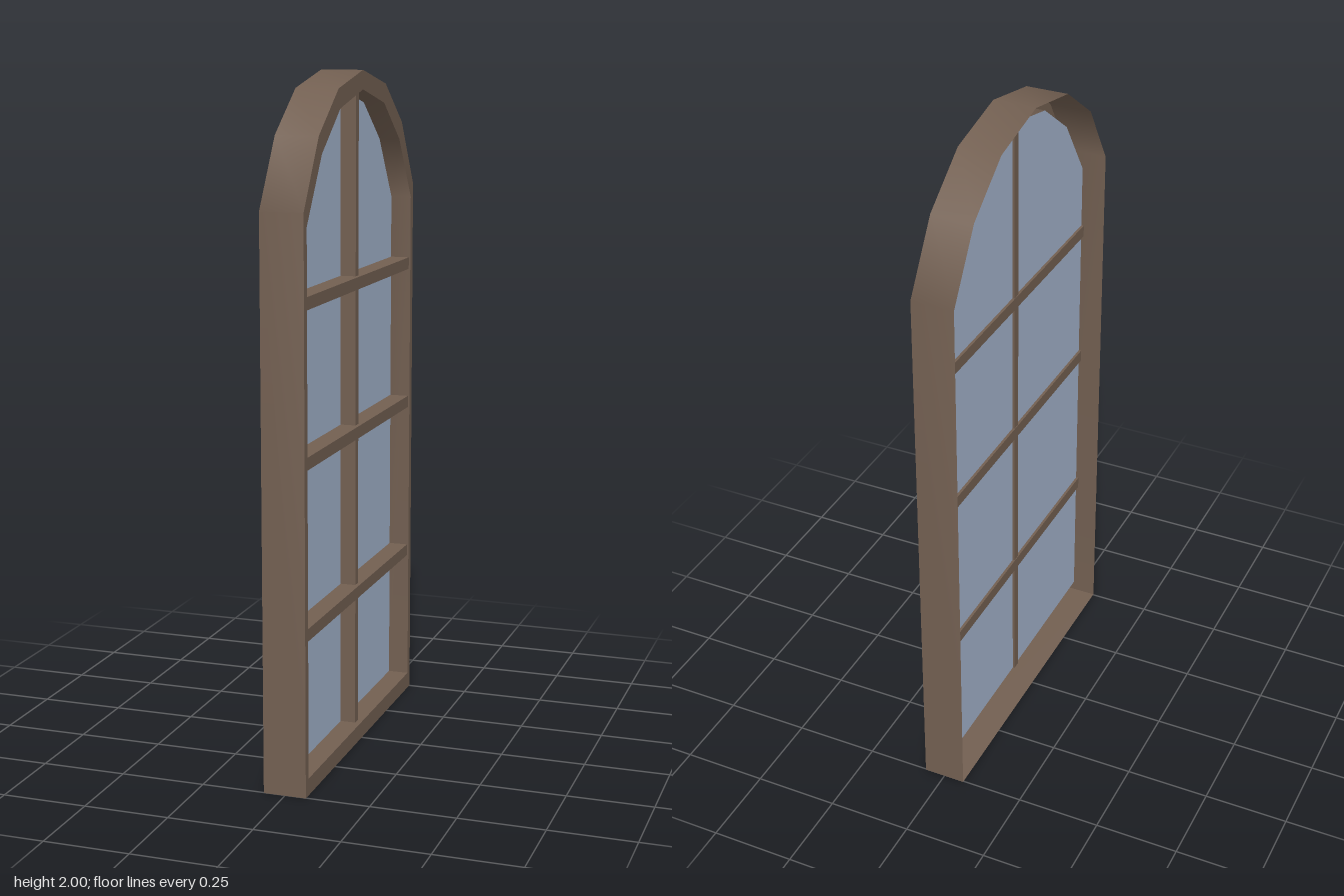
import * as THREE from 'three';

const HALF_DEPTH = 0.063;

// Half outlines as [z, y], from the foot of the jamb to the crown
const OUTER = [[0.503, 0], [0.503, 1.64], [0.38, 1.835], [0.215, 1.955], [0, 2]];
const INNER = [[0.479, 0.05], [0.479, 1.6], [0.355, 1.785], [0.2, 1.9], [0, 1.945]];

// Full arch from +z foot over the crown to -z foot
const mirror = half => [...half, ...half.slice(0, -1).reverse().map(([z, y]) => [-z, y])];

const toShape = pts => new THREE.Shape(pts.map(([z, y]) => new THREE.Vector2(-z, y)));

// Wall swept along x over an outline; smooth along its length
function wall(pts, x0, x1, inward) {
  const pos = [], idx = [];
  pts.forEach(([z, y], i) => {
    pos.push(x0, y, z, x1, y, z);
    if (i === pts.length - 1) return;
    const a = 2 * i, b = a + 1, c = a + 2, d = a + 3;
    if (inward) idx.push(a, c, b, b, c, d);
    else idx.push(a, b, c, b, d, c);
  });
  const g = new THREE.BufferGeometry();
  g.setAttribute('position', new THREE.Float32BufferAttribute(pos, 3));
  g.setIndex(idx);
  g.computeVertexNormals();
  return g;
}

export function createModel() {
  const group = new THREE.Group();
  group.name = 'archedWindow';
  const wood = new THREE.MeshStandardMaterial({ color: 0x725f51, side: THREE.DoubleSide });
  wood.name = 'brown wood';
  const pane = new THREE.MeshStandardMaterial({ color: 0xa2b2ca, side: THREE.DoubleSide });
  pane.name = 'blue glass';

  const add = (name, geometry, material = wood) => {
    const mesh = new THREE.Mesh(geometry, material);
    mesh.name = name;
    group.add(mesh);
    return mesh;
  };

  const outer = mirror(OUTER), inner = mirror(INNER);
  const ends = pts => [pts[pts.length - 1], pts[0]];

  // Outer casing, open at the back
  add('outerArch', wall(outer, -HALF_DEPTH, HALF_DEPTH, false));
  add('outerBase', wall(ends(outer), -HALF_DEPTH, HALF_DEPTH, false));

  // Front face of the frame
  const faceShape = toShape(outer);
  faceShape.holes.push(toShape(inner));
  const face = new THREE.ShapeGeometry(faceShape).rotateY(Math.PI / 2);
  add('frameFace', face.translate(HALF_DEPTH, 0, 0));

  // Inner reveal running back to the glass
  add('innerArch', wall(inner, 0, HALF_DEPTH, true));
  add('innerSill', wall(ends(inner), 0, HALF_DEPTH, true));

  // Glass
  add('glass', new THREE.ShapeGeometry(toShape(inner)).rotateY(Math.PI / 2), pane);

  // Glazing bars, standing slightly proud of the back of the glass
  const bar = (name, x0, x1, y0, y1, halfZ) =>
    add(name, new THREE.BoxGeometry(x1 - x0, y1 - y0, halfZ * 2))
      .position.set((x0 + x1) / 2, (y0 + y1) / 2, 0);
  bar('verticalBar', -0.006, 0.046, 0.05, 1.943, 0.013);
  [0.465, 0.952, 1.393].forEach((y, i) =>
    bar('crossBar' + (i + 1), -0.008, 0.058, y - 0.018, y + 0.018, 0.479));

  return group;
}
